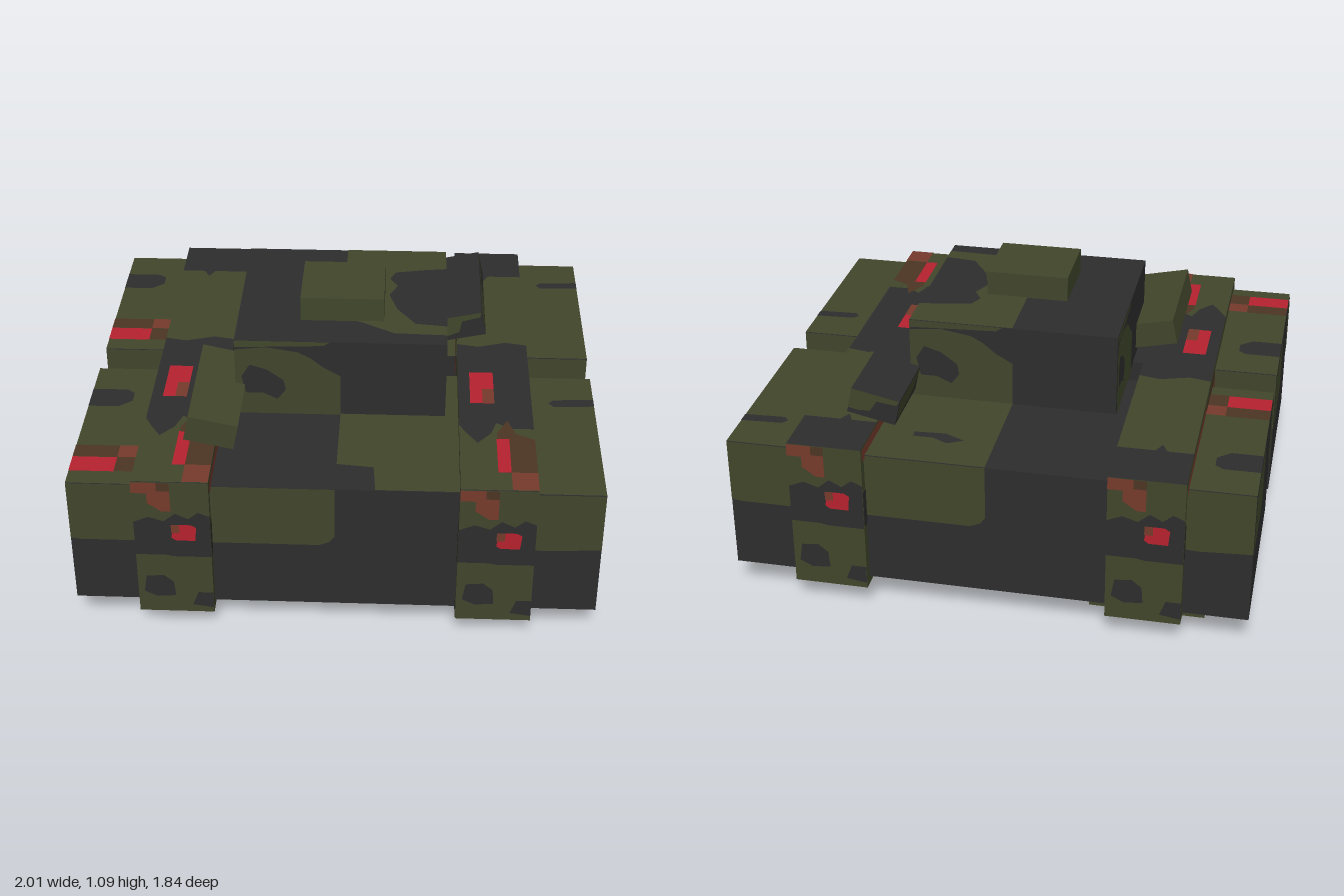
import * as THREE from 'three';

const paint = (name, color) => {
  const m = new THREE.MeshStandardMaterial({ color });
  m.name = name;
  return m;
};
const olive = paint('olive', 0x41462b), dark = paint('charcoal', 0x2d2d2e), red = paint('red', 0xb6212e),
  rust = paint('rust', 0x763a2c), brown = paint('brown', 0x4c3523);

const rect = (u0, v0, u1, v1) => [[u0, v0], [u1, v0], [u1, v1], [u0, v1]];

// Camouflage patches in face coordinates, 0..1 from lower left to upper right
const hullSide = [
  [olive, [[0, 0.53], [0.02, 0.52], [0.47, 0.52], [0.49, 0.55], [0.5, 0.6], [0.5, 1], [0, 1]]],
  [olive, [[0.835, 0.6], [0.85, 0.53], [0.9, 0.52], [1, 0.54], [1, 1], [0.835, 1]]],
];
const hullTop = [
  [olive, rect(0, 0, 0.14, 1)],
  [olive, [[0.575, 0], [1, 0], [1, 1], [0.5, 1], [0.5, 0.2], [0.57, 0.18]]],
  [dark, [[0.56, 0.78], [0.6, 0.73], [0.66, 0.74], [0.66, 0.78], [0.62, 0.78], [0.59, 0.82]]],
  [dark, [[0, 0.645], [0.06, 0.645], [0.085, 0.7], [0.085, 0.77], [0.07, 0.8], [0, 0.8]]],
  [dark, [[0.92, 0.73], [1, 0.74], [1, 0.8], [0.92, 0.79], [0.91, 0.76]]],
  [red, rect(0, 0.09, 0.085, 0.205)],
  [brown, rect(0, 0.205, 0.085, 0.3)],
  [brown, rect(0.085, 0.09, 0.14, 0.205)],
  [rust, rect(0.085, 0.205, 0.14, 0.3)],
];
const railSide = [
  [dark, [[0, 0.45], [0.4, 0.45], [0.5, 0.44], [1, 0.44], [1, 0.75], [0.85, 0.78], [0.72, 0.73],
    [0.55, 0.77], [0.4, 0.71], [0.2, 0.74], [0, 0.7]]],
  [dark, [[0.08, 0.16], [0.25, 0.12], [0.5, 0.13], [0.48, 0.24], [0.35, 0.29], [0.12, 0.28]]],
  [dark, [[0.72, 0.06], [1, 0.04], [1, 0.16], [0.8, 0.16]]],
  [rust, rect(0, 0.92, 0.33, 1)],
  [brown, rect(0.33, 0.92, 0.5, 1)],
  [rust, [[0.2, 0.85], [0.38, 0.79], [0.5, 0.79], [0.5, 0.94], [0.2, 0.94]]],
  [red, [[0.49, 0.59], [0.55, 0.57], [0.8, 0.57], [0.82, 0.67], [0.75, 0.69], [0.52, 0.69]]],
  [rust, rect(0.49, 0.63, 0.6, 0.69)],
];
const railTop = [
  [olive, [[0, 0.56], [0.3, 0.55], [0.7, 0.57], [1, 0.56], [1, 0.88], [0.5, 0.88], [0.42, 0.855], [0.34, 0.88], [0, 0.88]]],
  [olive, [[0, 0], [1, 0], [1, 0.22], [0.7, 0.22], [0.5, 0.24], [0.42, 0.2], [0.24, 0.165], [0.1, 0.2], [0, 0.23]]],
  [brown, [[0.5, 0.06], [1, 0.06], [1, 0.18], [0.75, 0.2], [0.65, 0.25], [0.5, 0.2]]],
  [red, rect(0.49, 0.06, 0.66, 0.18)],
  [rust, rect(0.66, 0, 1, 0.06)],
  [red, rect(0.16, 0.313, 0.49, 0.437)],
  [rust, rect(0.33, 0.313, 0.49, 0.37)],
];
const turretSide = [
  [olive, [[0, 0.91], [0.2, 0.93], [0.42, 0.95], [0.45, 1], [0, 1]]],
  [olive, [[0, 0], [0.5, 0], [0.5, 0.55], [0.42, 0.66], [0.36, 0.78], [0.3, 0.86], [0.15, 0.92], [0, 0.88]]],
  [dark, [[0.03, 0.52], [0.05, 0.3], [0.13, 0.3], [0.2, 0.22], [0.24, 0.35], [0.23, 0.48], [0.15, 0.62], [0.07, 0.68]]],
];
const turretTop = [
  [olive, [[0.5, 0.25], [0.6, 0.2], [0.75, 0.1], [1, 0.09], [1, 0.18], [0.85, 0.2], [0.76, 0.35], [0.72, 0.5],
    [0.76, 0.6], [0.72, 0.68], [0.75, 0.75], [0.88, 0.78], [1, 0.8], [1, 1], [0.5, 1]]],
];
const podSide = [
  [olive, [[0, 0.2], [0.2, 0.2], [0.45, 0.3], [0.55, 0.75], [0.95, 0.8], [1, 1], [0, 1]]],
];

const X = new THREE.Vector3(1, 0, 0), Y = new THREE.Vector3(0, 1, 0), Z = new THREE.Vector3(0, 0, 1);
const neg = (v) => v.clone().negate();
// Face name: horizontal axis, vertical axis, outward normal
const faces = {
  front: [X, Y, Z], back: [neg(X), Y, neg(Z)], left: [neg(Z), Y, X], right: [Z, Y, neg(X)],
  top: [X, neg(Z), Y], bottom: [X, Z, neg(Y)],
};

// Box between two values per axis, with patches laid just above its faces
function paintedBox(name, [x0, x1], [y0, y1], [z0, z1], base, side = [], cap = []) {
  const group = new THREE.Group();
  group.name = name;
  group.position.set((x0 + x1) / 2, (y0 + y1) / 2, (z0 + z1) / 2);
  const size = new THREE.Vector3(x1 - x0, y1 - y0, z1 - z0);
  const body = new THREE.Mesh(new THREE.BoxGeometry(size.x, size.y, size.z), base);
  body.name = name + 'Body';
  group.add(body);
  for (const [face, [u, v, n]] of Object.entries(faces)) {
    const [w, h, d] = [u, v, n].map((a) => Math.abs(a.dot(size)));
    const patches = face === 'top' || face === 'bottom' ? cap : side;
    patches.forEach(([material, points], i) => {
      const shape = new THREE.Shape(points.map(([a, b]) => new THREE.Vector2((a - 0.5) * w, (b - 0.5) * h)));
      const geo = new THREE.ShapeGeometry(shape);
      geo.translate(0, 0, d / 2 + 0.002 + i * 0.0008);
      geo.applyMatrix4(new THREE.Matrix4().makeBasis(u, v, n));
      const patch = new THREE.Mesh(geo, material);
      patch.name = `${name}${face}Patch`;
      group.add(patch);
    });
  }
  return group;
}

export function createModel() {
  const model = new THREE.Group();
  model.name = 'blockTank';

  // Hull: two equal blocks with a narrow gap
  model.add(paintedBox('frontHull', [-1, 1], [0.12, 0.66], [0.078, 0.873], dark, hullSide, hullTop));
  model.add(paintedBox('rearHull', [-1, 1], [0.12, 0.66], [-0.873, -0.078], dark, hullSide, hullTop));

  // Long rails joining the blocks
  for (const [name, x] of [['rightRail', -0.75], ['leftRail', 0.462]]) {
    const rail = paintedBox(name, [x, x + 0.287], [0.09, 0.7], [-0.91, 0.91], olive, railSide, railTop);
    // Top and underside have a dark ground colour
    rail.children[0].material = [olive, olive, dark, dark, olive, olive];
    model.add(rail);
  }

  // Turret and hatch
  model.add(paintedBox('turret', [-0.41, 0.41], [0.655, 0.99], [-0.373, 0.373], dark, turretSide, turretTop));
  model.add(paintedBox('hatch', [-0.163, 0.163], [0.98, 1.09], [-0.087, 0.21], olive));

  // Tilted side pods and feet, placed on opposite diagonals
  for (const s of [-1, 1]) {
    const z = s < 0 ? [0.15, 0.672] : [-0.677, -0.15];
    const side = s < 0 ? 'right' : 'left';
    const pod = paintedBox(side + 'Pod', [s * 0.477 - 0.096, s * 0.477 + 0.096], [0.708, 0.813], z,
      s < 0 ? olive : dark, s < 0 ? [] : podSide);
    pod.rotation.z = s * 0.21;
    model.add(pod);
    model.add(paintedBox(side + 'Foot', [s * 0.6 - 0.225, s * 0.6 + 0.225], [0, 0.125],
      [s * 0.488 - 0.237, s * 0.488 + 0.237], olive));
  }
  return model;
}
